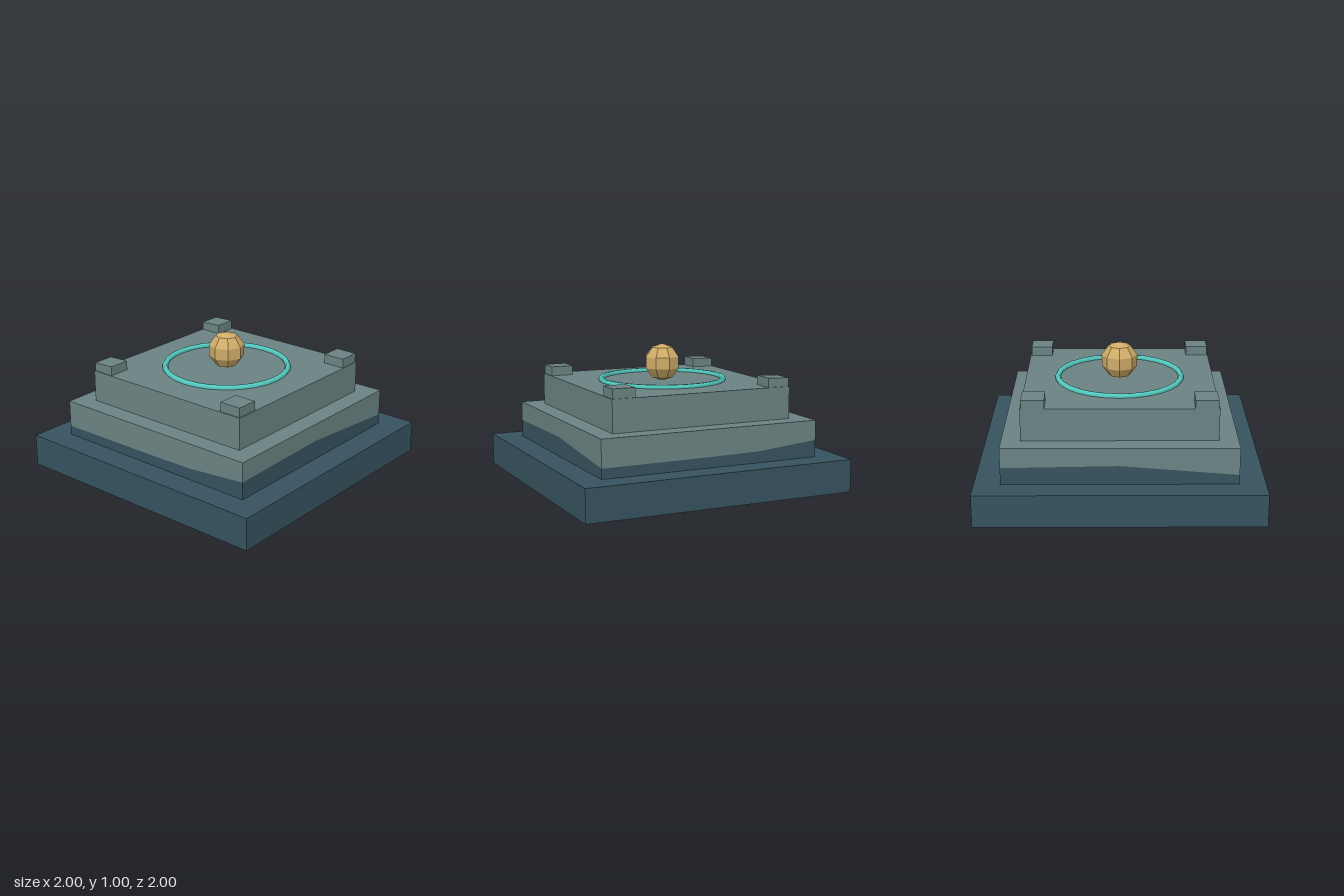
import * as THREE from 'three';

const paint = (name, color) => {
  const m = new THREE.MeshStandardMaterial({ color });
  m.name = name;
  return m;
};

// Box from ranges; lean raises its -x side a little for a hand-cut look
function block(x0, x1, y0, y1, z0, z1, lean = 0) {
  const g = new THREE.BoxGeometry(x1 - x0, y1 - y0, z1 - z0);
  g.translate((x0 + x1) / 2, (y0 + y1) / 2, (z0 + z1) / 2);
  const p = g.attributes.position;
  for (let i = 0; i < p.count; i++) if (p.getX(i) < (x0 + x1) / 2) p.setY(i, p.getY(i) + lean);
  g.computeVertexNormals();
  return g;
}

// Walls around a perimeter of [x, z] points between two height rules, with a flat lid
function wallRing(points, low, high) {
  const v = [];
  points.forEach((p, i) => {
    const j = (i + 1) % points.length, q = points[j];
    const a = [p[0], low(i), p[1]], b = [q[0], low(j), q[1]];
    const c = [q[0], high(j), q[1]], d = [p[0], high(i), p[1]];
    v.push(...a, ...b, ...c, ...a, ...c, ...d);
    v.push(0, high(0), 0, ...d, ...c);
  });
  const g = new THREE.BufferGeometry();
  g.setAttribute('position', new THREE.Float32BufferAttribute(v, 3));
  g.computeVertexNormals();
  return g;
}

export function createModel() {
  const model = new THREE.Group();
  model.name = 'steppedPedestal';
  const darkStone = paint('darkStone', 0x36535f);
  const greyStone = paint('greyStone', 0x6b8383);
  const gold = paint('gold', 0xcfac68);
  const teal = paint('teal', 0x55cbc2);
  gold.flatShading = true;

  const add = (name, geometry, material) => {
    const mesh = new THREE.Mesh(geometry, material);
    mesh.name = name;
    model.add(mesh);
    return mesh;
  };

  // Bottom step
  add('baseStep', block(-1, 1, 0, 0.235, -1, 1, 0.006), darkStone);

  // Middle step: uneven dark band below, grey stone above; half the outline, turned for the rest
  const half = [[-0.815, 0.817, 0.308], [0, 0.817, 0.314], [0.35, 0.817, 0.32],
    [0.817, 0.817, 0.362], [0.817, 0, 0.376]];
  const outline = [...half, ...half.map(([x, z, y]) => [-x, -z, y])];
  const bandTop = (i) => outline[i][2];
  const bandGeometry = wallRing(outline, () => 0.23, bandTop);
  add('middleStepBand', bandGeometry, darkStone);
  add('middleStep', wallRing(outline, bandTop, () => 0.505), greyStone);

  // Top step
  add('topStep', block(-0.677, 0.68, 0.5, 0.737, -0.683, 0.683), greyStone);

  // Four corner blocks
  for (const sx of [-1, 1]) {
    for (const sz of [-1, 1]) {
      const x = sx * 0.592, z = sz * 0.595;
      add('cornerBlock', block(x - 0.082, x + 0.082, 0.73, 0.805, z - 0.08, z + 0.08, sx < 0 ? -0.007 : 0), greyStone);
    }
  }

  // Inlaid ring
  const ring = add('ring', new THREE.TorusGeometry(0.45, 0.021, 6, 28), teal);
  ring.rotation.x = -Math.PI / 2;
  ring.position.y = 0.745;

  // Faceted orb
  add('orb', new THREE.SphereGeometry(0.136, 8, 5), gold).position.y = 0.868;

  return model;
}
